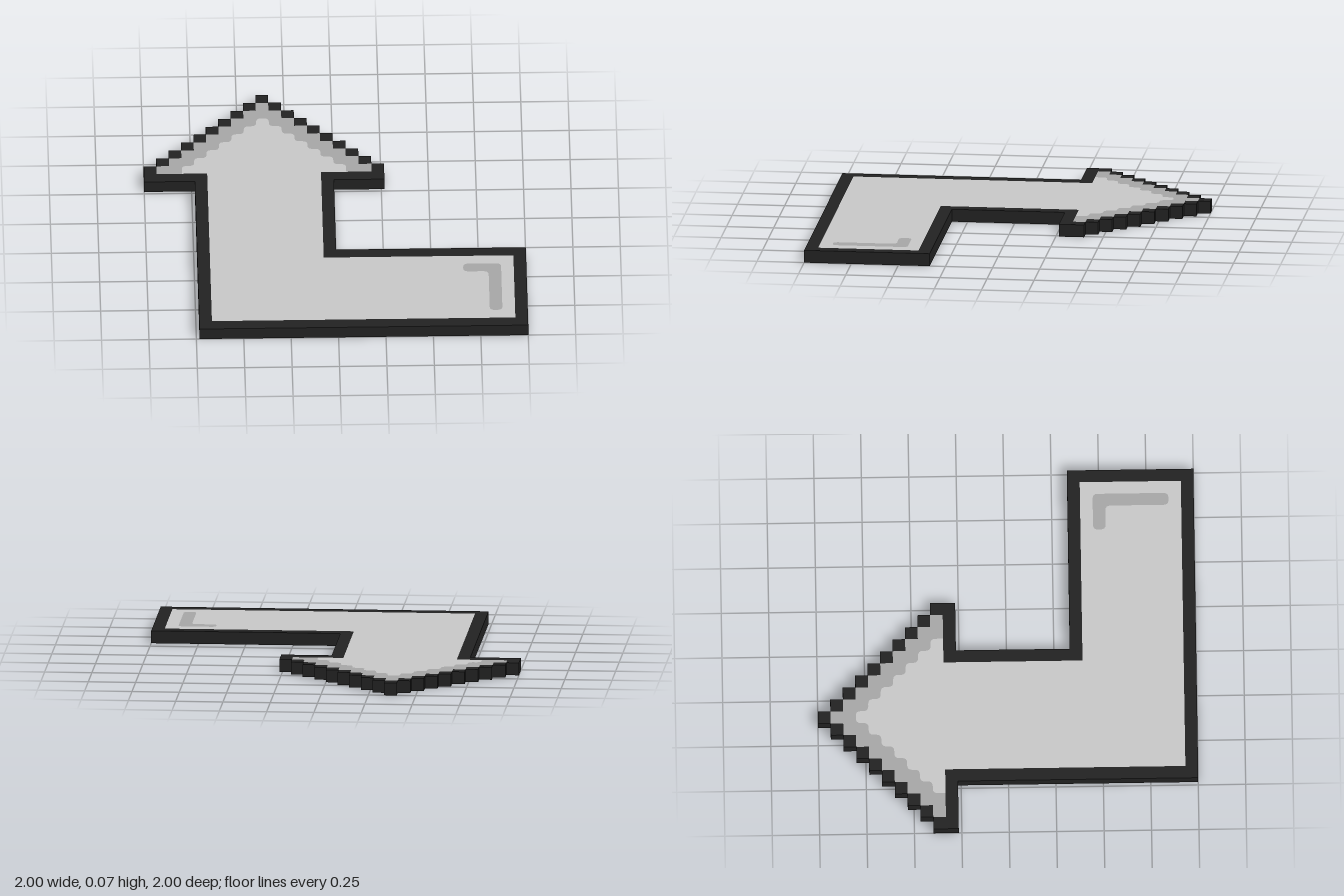
import * as THREE from 'three';

const U = 2 / 30; // one pixel cell of a 30 x 30 grid, columns along x and rows along z

// Traces [column, row, cornerRadius] points into a Shape or Path
function trace(path, points) {
  const n = points.length;
  const P = points.map(([c, r]) => new THREE.Vector2(-1 + c * U, 1 - r * U));
  const toward = (a, b, d) => a.clone().add(b.clone().sub(a).setLength(d));
  points.forEach(([, , radius = 0], i) => {
    const here = P[i];
    const a = toward(here, P[(i + n - 1) % n], radius * U);
    const b = toward(here, P[(i + 1) % n], radius * U);
    if (i === 0) path.moveTo(a.x, a.y);
    else path.lineTo(a.x, a.y);
    if (radius > 0) path.quadraticCurveTo(here.x, here.y, b.x, b.y);
  });
  path.closePath();
  return path;
}

// Stepped arrowhead edge from lower left, over the tip, to lower right
function stairs(top, bottom, radius) {
  const left = [], right = [];
  for (let r = bottom; r >= top; r--) {
    const k = r - top;
    left.push([9 - k, r + 1, radius], [9 - k, r, radius]);
    right.unshift([10 + k, r, radius], [10 + k, r + 1, radius]);
  }
  const points = [...left, ...right];
  points[0][2] = points[points.length - 1][2] = 0;
  return points;
}

function slab(name, shape, material) {
  const geometry = new THREE.ExtrudeGeometry(shape, { depth: U, bevelEnabled: false, curveSegments: 4 });
  geometry.rotateX(-Math.PI / 2);
  const mesh = new THREE.Mesh(geometry, material);
  mesh.name = name;
  return mesh;
}

export function createModel() {
  const dark = new THREE.MeshStandardMaterial({ name: 'outline black', color: 0x222222 });
  const light = new THREE.MeshStandardMaterial({ name: 'light grey', color: 0xc8c8c8 });
  const mid = new THREE.MeshStandardMaterial({ name: 'shade grey', color: 0xa6a6a6 });
  const model = new THREE.Group();
  model.name = 'bentArrow';

  // Dark outline: runs of cells as [column, row, width, height]
  const runs = [
    [9, 0, 1, 1],
    [0, 10, 5, 1], [14, 10, 5, 1],
    [4, 11, 1, 19], [14, 11, 1, 9],
    [14, 20, 16, 1], [29, 21, 1, 9], [5, 29, 24, 1],
  ];
  for (let r = 1; r <= 9; r++) runs.push([9 - r, r, 1, 1], [9 + r, r, 1, 1]);
  const outline = new THREE.Group();
  outline.name = 'outline';
  for (const [c, r, w, h] of runs) {
    const bar = new THREE.Mesh(new THREE.BoxGeometry(w * U, U, h * U), dark);
    bar.name = 'outlineBar';
    bar.position.set(-1 + (c + w / 2) * U, U / 2, -1 + (r + h / 2) * U);
    outline.add(bar);
  }
  model.add(outline);

  // Light body with an opening for the corner mark
  const innerStairs = stairs(3, 9, 0.4);
  const mark = [
    [25, 22, 0.4], [28, 22, 0.4], [28, 28, 0.4],
    [27, 28, 0.4], [27, 23, 0.4], [25, 23, 0.4],
  ];
  const bodyShape = trace(new THREE.Shape(), [
    ...innerStairs,
    [14, 10], [14, 21], [29, 21], [29, 29], [5, 29], [5, 10],
  ]);
  bodyShape.holes.push(trace(new THREE.Path(), mark));
  model.add(slab('body', bodyShape, light));

  // Shaded band along the arrowhead, and the corner mark
  const band = [...stairs(1, 9, 0), ...innerStairs.slice().reverse()];
  model.add(slab('headShade', trace(new THREE.Shape(), band), mid));
  model.add(slab('cornerMark', trace(new THREE.Shape(), mark), mid));

  return model;
}
